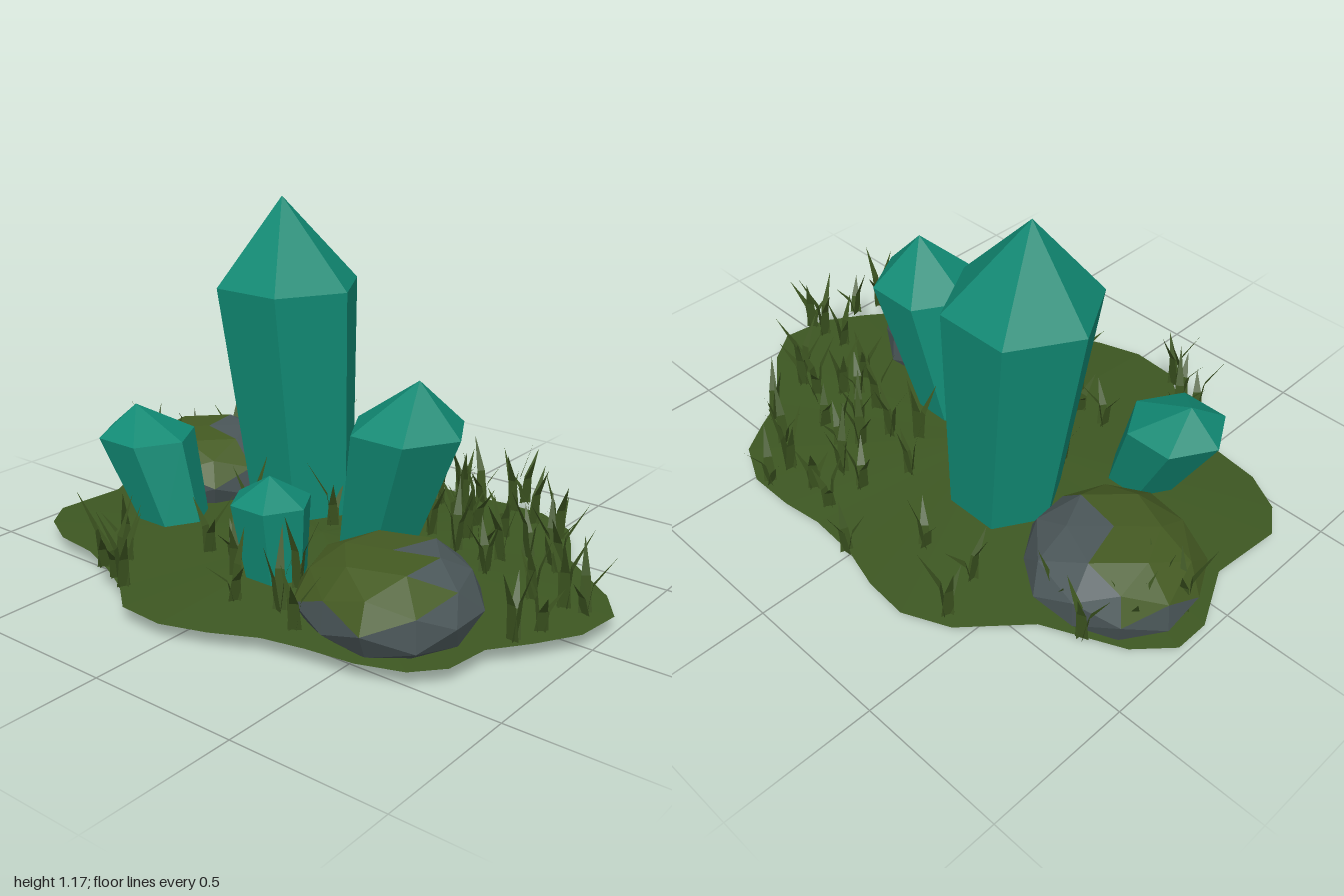
import * as THREE from 'three';

const mat = (name, color, doubleSided = false) => {
  const m = new THREE.MeshStandardMaterial({ color, flatShading: true });
  m.name = name;
  if (doubleSided) m.side = THREE.DoubleSide;
  return m;
};

// Small seeded generator for the grass
function seeded(seed) {
  return () => {
    seed = (seed * 16807) % 2147483647;
    return seed / 2147483647;
  };
}

function fromPositions(positions) {
  const g = new THREE.BufferGeometry();
  g.setAttribute('position', new THREE.Float32BufferAttribute(positions, 3));
  g.computeVertexNormals();
  return g;
}

// Ground outline as [x, z], clockwise seen from above
const OUTLINE = [
  [-1, -.24], [-.9, -.35], [-.65, -.47], [-.48, -.66], [-.33, -.73], [-.18, -.72], [-.03, -.68],
  [.14, -.67], [.28, -.69], [.44, -.69], [.58, -.62], [.65, -.51], [.71, -.4], [.92, -.24], [1, -.13],
  [.98, .03], [.9, .16], [.81, .28], [.79, .43], [.71, .52], [.57, .57], [.41, .59], [.27, .62],
  [.13, .69], [-.02, .74], [-.18, .73], [-.29, .64], [-.41, .58], [-.56, .52], [-.72, .5],
  [-.85, .43], [-.92, .33], [-.9, .08], [-1, -.12],
];

// Where the grass tufts stand, as [x, z]
const TUFTS = [
  [-.05, -.7], [-.45, -.65], [-.4, -.5], [-.2, -.51], [.37, -.68], [.15, -.61], [.25, -.59], [.14, -.48],
  [.38, -.59], [.49, -.53], [.62, -.47], [.24, -.48], [.08, -.32], [.35, -.4], [.47, -.37], [.38, -.29],
  [.3, -.35], [.56, -.21], [.7, -.28], [.62, -.28], [.51, -.18], [.41, -.18], [.27, -.24], [-.02, -.08],
  [.19, -.18], [.78, -.03], [.88, -.04], [.95, -.04], [.87, .23], [.9, .13], [-.08, .11], [-.24, .08],
  [-.13, .2], [-.05, .21], [-.1, .32], [-.21, .32], [-.02, .4], [.09, .53], [.24, .5], [.35, .56],
  [-.37, .53], [-.39, .61], [-.24, .67], [-.3, .64], [-.79, -.43], [-.66, -.4], [-.87, -.3], [-.85, -.18],
  [-.93, -.14], [.57, -.1], [.19, .35], [.75, -.24],
];

// Shallow mound, highest in the middle
function groundGeometry() {
  const p = [];
  OUTLINE.forEach(([x, z], i) => {
    const [nx, nz] = OUTLINE[(i + 1) % OUTLINE.length];
    p.push(0, .1, 0, nx, .055, nz, x, .055, z);
  });
  return fromPositions(p);
}

// Six-sided crystal: narrow base, wider shoulder, pointed tip. Each ring is [x, y, z, radius]
function crystalGeometry(base, shoulder, tip) {
  const g = new THREE.CylinderGeometry(0, 1, 1, 6, 2).rotateY(Math.PI / 6);
  const a = g.attributes.position;
  for (let i = 0; i < a.count; i++) {
    const y = a.getY(i);
    const [cx, cy, cz, r] = y < -.1 ? base : y < .1 ? shoulder : tip;
    const k = r / (.5 - y || 1);
    a.setXYZ(i, cx + a.getX(i) * k, cy, cz + a.getZ(i) * k);
  }
  g.computeVertexNormals();
  return g;
}

// Flattened boulder whose upper front-left faces are mossy
function makeRock(name, x, z, turn, stone, moss) {
  const g = new THREE.IcosahedronGeometry(1, 1).rotateY(turn);
  const a = g.attributes.position;
  const faces = { stone: [], moss: [] };
  const v = new THREE.Vector3();
  for (let f = 0; f < a.count; f += 3) {
    const tri = [], mid = new THREE.Vector3();
    for (let j = 0; j < 3; j++) {
      v.fromBufferAttribute(a, f + j);
      const bump = 1 + .05 * Math.sin(v.x * 5 + v.z * 3) * Math.cos(v.z * 4 - v.y * 2);
      const y = THREE.MathUtils.clamp(v.y, -.85, .85) / .85;
      tri.push(v.x * .285 * bump, y * .14, v.z * .275 * bump);
      mid.addScaledVector(v, 1 / 3);
    }
    const mossy = mid.y > .15 && mid.z - mid.x * .7 > -.25;
    faces[mossy ? 'moss' : 'stone'].push(...tri);
  }
  const rock = new THREE.Group();
  rock.name = name;
  const body = new THREE.Mesh(fromPositions(faces.stone), stone);
  body.name = 'rockStone';
  const cover = new THREE.Mesh(fromPositions(faces.moss), moss);
  cover.name = 'rockMoss';
  rock.add(body, cover);
  rock.position.set(x, .14, z);
  return rock;
}

// Tufts of three bent, tapering blades
function grassGeometry() {
  const rand = seeded(4217);
  const p = [];
  for (const [x, z] of TUFTS) {
    const spin = rand() * Math.PI * 2;
    for (let b = 0; b < 3; b++) {
      const ang = spin + b * 2.1 + (rand() - .5) * .7;
      const h = .11 + rand() * .15;
      const lean = .03 + rand() * .04;
      const dx = Math.cos(ang), dz = Math.sin(ang);
      // point at a distance out, sideways offset and height
      const at = (out, side, y) => [x + dx * out - dz * side, .085 + y, z + dz * out + dx * side];
      const l0 = at(.005, .021, 0), r0 = at(.005, -.021, 0);
      const l1 = at(.018, .014, h * .5), r1 = at(.018, -.014, h * .5);
      const tip = at(.018 + lean, 0, h);
      p.push(...l0, ...r0, ...r1, ...l0, ...r1, ...l1, ...l1, ...r1, ...tip);
    }
  }
  return fromPositions(p);
}

export function createModel() {
  const model = new THREE.Group();
  model.name = 'crystalPatch';
  const crystal = mat('crystalTeal', 0x118a74);
  const stone = mat('stoneGrey', 0x4b5759);
  const moss = mat('mossGreen', 0x445a22);
  const soil = mat('groundGreen', 0x3d5722, true);
  const grass = mat('grassGreen', 0x3c5420, true);

  const add = (name, geometry, material) => {
    const m = new THREE.Mesh(geometry, material);
    m.name = name;
    model.add(m);
  };

  add('ground', groundGeometry(), soil);
  add('grass', grassGeometry(), grass);

  // Crystals: base ring, shoulder ring, tip
  const crystals = {
    tallCrystal: [[-.215, .1, -.165, .185], [-.27, .88, -.155, .25], [-.29, 1.17, -.15, 0]],
    rightCrystal: [[.24, .1, .035, .125], [.365, .55, .038, .19], [.405, .71, .04, 0]],
    leftCrystal: [[-.48, .11, .21, .12], [-.59, .38, .215, .165], [-.635, .475, .22, 0]],
    frontCrystal: [[.085, .1, .33, .1], [.065, .335, .33, .13], [.065, .415, .335, 0]],
  };
  for (const [name, rings] of Object.entries(crystals)) add(name, crystalGeometry(...rings), crystal);

  model.add(makeRock('rightRock', .5, .3, .3, stone, moss));
  model.add(makeRock('leftRock', -.68, -.18, .8, stone, moss));
  return model;
}
